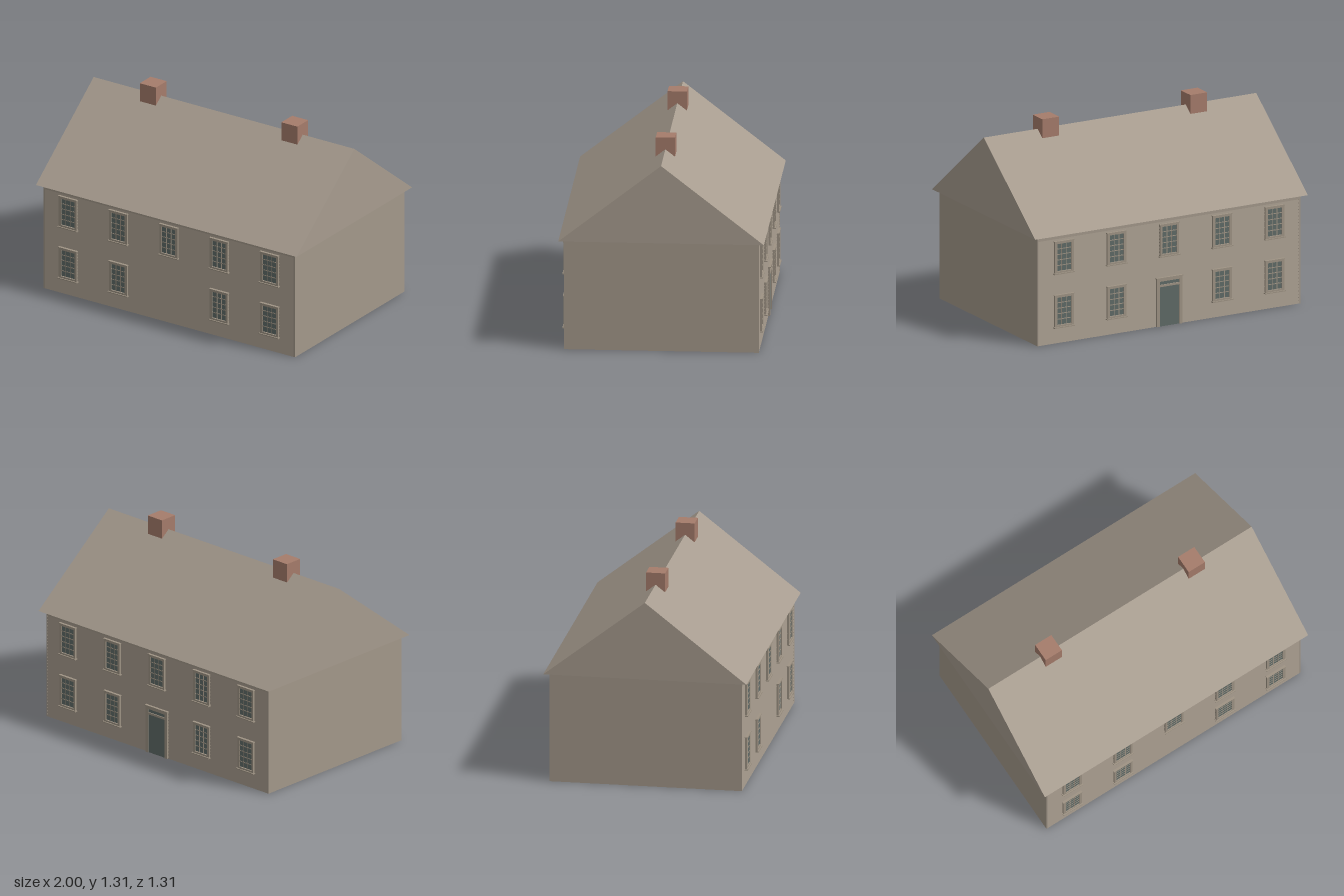
import * as THREE from 'three';

const mat = (name, color) => {
  const m = new THREE.MeshStandardMaterial({ color });
  m.name = name;
  return m;
};

const WALL_X = 0.965, WALL_Z = 0.62, EAVE_Y = 0.72, RIDGE_Y = 1.23;

export function createModel() {
  const wall = mat('wall taupe', 0xa3988a);
  const roofing = mat('roof taupe', 0xa79c8f);
  const trim = mat('trim taupe', 0x9e9384);
  const glass = mat('grey green', 0x5f6a67);
  const brick = mat('chimney brick', 0xa57c6b);

  const add = (parent, name, geometry, material, x = 0, y = 0, z = 0) => {
    const mesh = new THREE.Mesh(geometry, material);
    mesh.name = name;
    mesh.position.set(x, y, z);
    parent.add(mesh);
    return mesh;
  };
  const box = (parent, name, material, w, h, d, x, y, z) =>
    add(parent, name, new THREE.BoxGeometry(w, h, d), material, x, y, z);

  // Profile drawn as (z, y), extruded along x and centred
  const extrudeX = (points, length) => {
    const shape = new THREE.Shape(points.map(([z, y]) => new THREE.Vector2(z, y)));
    return new THREE.ExtrudeGeometry(shape, { depth: length, bevelEnabled: false })
      .translate(0, 0, -length / 2)
      .rotateY(-Math.PI / 2);
  };

  // Clapboard wall: a sawtooth outside, flat inside
  const boards = 32, top = 0.69, pitch = top / boards;
  const profile = [[WALL_Z - 0.012, 0]];
  for (let i = 0; i < boards; i++) {
    profile.push([WALL_Z, i * pitch], [WALL_Z - 0.004, (i + 1) * pitch]);
  }
  profile.push([WALL_Z, top], [WALL_Z, EAVE_Y], [WALL_Z - 0.012, EAVE_Y]);
  const clapboards = extrudeX(profile, 2 * WALL_X - 0.02);

  // Sash window with its base at the sill
  const createWindow = (x, y) => {
    const g = new THREE.Group();
    g.name = 'window';
    const W = 0.138, H = 0.212, gw = 0.104, gh = 0.182, side = (W - gw) / 2;
    const mid = H / 2 + 0.002;
    box(g, 'glass', glass, gw, gh, 0.008, 0, mid, 0.001);
    for (const s of [-1, 1]) {
      box(g, 'sideCasing', trim, side, H, 0.014, s * (gw + side) / 2, H / 2, 0.004);
    }
    const edge = (H - gh) / 2;
    box(g, 'headCasing', trim, gw, edge, 0.014, 0, H - edge / 2, 0.004);
    box(g, 'bottomCasing', trim, gw, edge, 0.014, 0, edge / 2, 0.004);
    box(g, 'headCap', trim, W + 0.006, 0.006, 0.018, 0, H, 0.006);
    box(g, 'sill', trim, W + 0.012, 0.007, 0.022, 0, 0, 0.008);
    for (let i = 1; i < 3; i++) {
      box(g, 'verticalBar', trim, 0.005, gh, 0.006, gw * (i / 3 - 0.5), mid, 0.004);
    }
    for (let j = 1; j < 5; j++) {
      box(g, 'horizontalBar', trim, gw, 0.005, 0.006, 0, mid + gh * (j / 5 - 0.5), 0.004);
    }
    g.position.set(x, y, WALL_Z);
    return g;
  };

  // Door with casing and a narrow transom
  const createDoor = () => {
    const g = new THREE.Group();
    g.name = 'door';
    box(g, 'doorPanel', glass, 0.146, 0.262, 0.008, 0, 0.131, 0.001);
    for (const s of [-1, 1]) box(g, 'sideCasing', trim, 0.02, 0.32, 0.014, s * 0.083, 0.16, 0.004);
    box(g, 'transomRail', trim, 0.146, 0.014, 0.014, 0, 0.269, 0.004);
    box(g, 'transom', glass, 0.146, 0.022, 0.008, 0, 0.287, 0.001);
    box(g, 'headCasing', trim, 0.146, 0.022, 0.014, 0, 0.309, 0.004);
    box(g, 'headCap', trim, 0.196, 0.007, 0.02, 0, 0.32, 0.007);
    g.position.z = WALL_Z;
    return g;
  };

  // One long side; only the back has the door
  const createFacade = (hasDoor) => {
    const g = new THREE.Group();
    g.name = hasDoor ? 'backFacade' : 'frontFacade';
    add(g, 'clapboardWall', clapboards, wall);
    for (const x of [-0.773, -0.387, 0, 0.387, 0.773]) {
      g.add(createWindow(x, 0.462));
      if (x !== 0) g.add(createWindow(x, 0.106));
    }
    if (hasDoor) {
      g.add(createDoor());
      g.rotation.y = Math.PI;
    }
    return g;
  };

  const house = new THREE.Group();
  house.name = 'house';
  house.add(createFacade(false), createFacade(true));

  // Plain end walls; the house is open underneath
  for (const s of [-1, 1]) {
    box(house, 'endWall', wall, 0.01, EAVE_Y, 2 * WALL_Z, s * (WALL_X - 0.005), EAVE_Y / 2, 0);
  }

  // Gable roof
  add(house, 'roof', extrudeX([[-0.655, EAVE_Y], [0.655, EAVE_Y], [0, RIDGE_Y]], 2), roofing);

  // Chimneys astride the ridge
  for (const s of [-1, 1]) {
    box(house, 'chimney', brick, 0.123, 0.125, 0.123, s * 0.543, 1.2455, 0);
  }
  return house;
}
